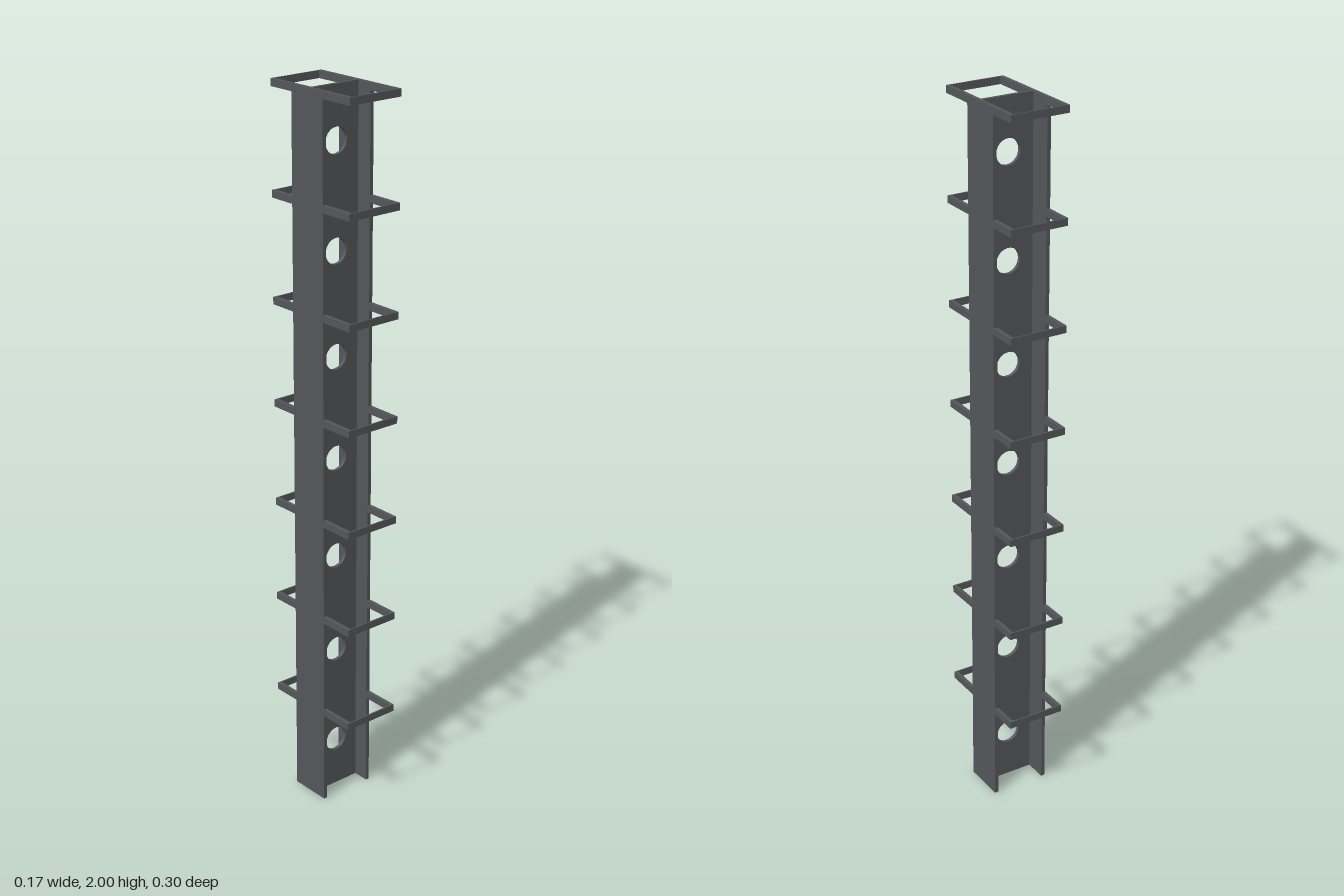
import * as THREE from 'three';

const HEIGHT = 2, BAYS = 7, BAY = HEIGHT / BAYS;
const HALF_W = 0.083, WALL = 0.0105;
const material = new THREE.MeshStandardMaterial({ color: 0x55565a });

function rect(path, x0, y0, x1, y1) {
  path.moveTo(x0, y0);
  path.lineTo(x1, y0);
  path.lineTo(x1, y1);
  path.lineTo(x0, y1);
  path.closePath();
  return path;
}

function addMesh(group, name, geometry, x = 0, y = 0, z = 0) {
  const mesh = new THREE.Mesh(geometry, material);
  mesh.name = name;
  mesh.position.set(x, y, z);
  group.add(mesh);
}

export function createModel() {
  const model = new THREE.Group();
  model.name = 'ladderColumn';
  const innerW = HALF_W - WALL;

  // Web plate with one round hole per bay
  const web = rect(new THREE.Shape(), -innerW, 0, innerW, HEIGHT);
  for (let i = 0; i < BAYS; i++) {
    web.holes.push(new THREE.Path().absarc(0, (i + 0.5) * BAY, 0.035, 0, Math.PI * 2, true));
  }
  const webGeometry = new THREE.ExtrudeGeometry(web, { depth: 0.01, bevelEnabled: false, curveSegments: 32 });
  addMesh(model, 'web', webGeometry, 0, 0, -0.006);

  // Side flanges, set slightly towards the back
  const flange = new THREE.BoxGeometry(WALL, HEIGHT, 0.12);
  for (const side of [-1, 1]) {
    addMesh(model, side > 0 ? 'leftFlange' : 'rightFlange', flange, side * (HALF_W - WALL / 2), HEIGHT / 2, -0.01);
  }

  // Rectangular rungs, flush with the top of each bay
  const frame = rect(new THREE.Shape(), -HALF_W, -0.152, HALF_W, 0.152);
  frame.holes.push(rect(new THREE.Path(), -innerW, -0.148, innerW, 0.148));
  const rung = new THREE.ExtrudeGeometry(frame, { depth: 0.02, bevelEnabled: false });
  rung.rotateX(-Math.PI / 2);
  for (let i = 1; i <= BAYS; i++) {
    addMesh(model, 'rungFrame' + i, rung, 0, i * BAY - 0.02, 0);
  }
  return model;
}
